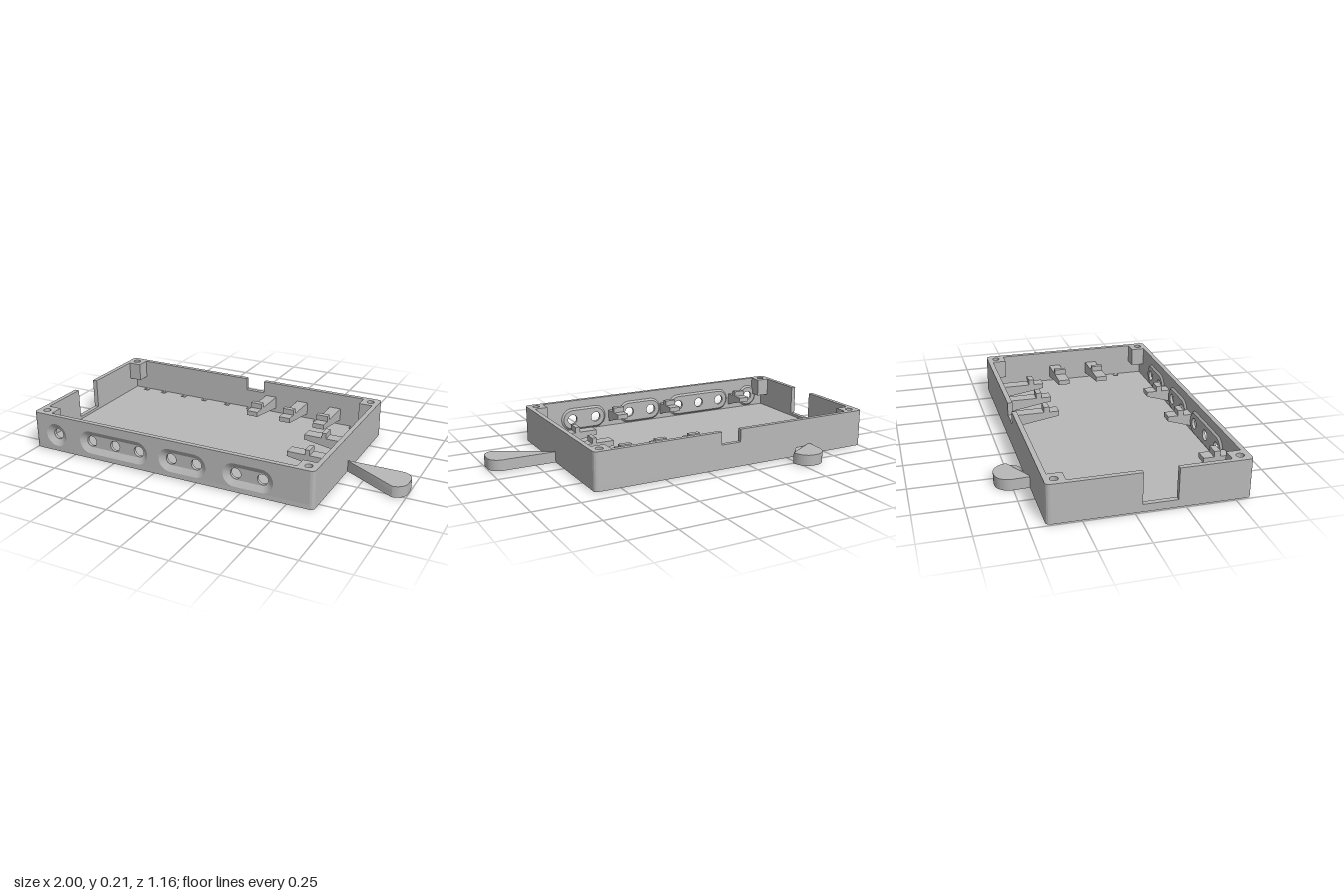
import * as THREE from 'three';
import { toCreasedNormals } from 'three/addons/utils/BufferGeometryUtils.js';

// Overall limits of the tray
const X0 = -1, X1 = 0.645, Z0 = -0.42, Z1 = 0.577;
const T = 0.026, BASE = 0.005, FLOOR = 0.03, TOP = 0.21, R = 0.022;
const SLOT_Y = 0.098;

const grey = new THREE.MeshStandardMaterial({ color: 0xb8b8b8 });
grey.name = 'grey plastic';

function add(parent, name, geometry) {
  const mesh = new THREE.Mesh(toCreasedNormals(geometry, 0.6), grey);
  mesh.name = name;
  parent.add(mesh);
  return mesh;
}

const poly = (points) => new THREE.Shape(points.map(([x, y]) => new THREE.Vector2(x, y)));

function extrude(shape, depth) {
  return new THREE.ExtrudeGeometry(shape, { depth, bevelEnabled: false, curveSegments: 16 });
}

// Extrude a plan outline (shape y = -z) from height y0 to y1
function plan(shape, y0, y1) {
  return extrude(shape, y1 - y0).rotateX(-Math.PI / 2).translate(0, y0, 0);
}

function circle(x, y, r) {
  return new THREE.Path().absarc(x, y, r, 0, Math.PI * 2, true);
}

function square(x, y, s) {
  const h = s / 2;
  return new THREE.Path([[-h, -h], [-h, h], [h, h], [h, -h]].map(([a, b]) => new THREE.Vector2(x + a, y + b)));
}

// Counter-clockwise stadium outline around the line from xa to xb
function stadium(xa, xb, r) {
  const n = 16, pts = [];
  for (const [cx, start] of [[xb, -Math.PI / 2], [xa, Math.PI / 2]]) {
    for (let i = 0; i <= n; i++) {
      const a = start + (Math.PI * i) / n;
      pts.push(new THREE.Vector2(cx + r * Math.cos(a), SLOT_Y + r * Math.sin(a)));
    }
  }
  return pts;
}

// Sloped band between two outlines; faces +z, or -z when flipped
function band(a, za, b, zb, flip) {
  const pos = [];
  for (let i = 0; i < a.length; i++) {
    const j = (i + 1) % a.length;
    const A = [a[i].x, a[i].y, za], B = [a[j].x, a[j].y, za];
    const C = [b[j].x, b[j].y, zb], D = [b[i].x, b[i].y, zb];
    if (flip) pos.push(...A, ...C, ...B, ...A, ...D, ...C);
    else pos.push(...A, ...B, ...C, ...A, ...C, ...D);
  }
  const g = new THREE.BufferGeometry();
  g.setAttribute('position', new THREE.Float32BufferAttribute(pos, 3));
  g.computeVertexNormals();
  return g;
}

function roundedRect(x0, y0, x1, y1, r) {
  const s = new THREE.Shape();
  s.absarc(x1 - r, y1 - r, r, 0, Math.PI / 2);
  s.absarc(x0 + r, y1 - r, r, Math.PI / 2, Math.PI);
  s.absarc(x0 + r, y0 + r, r, Math.PI, Math.PI * 1.5);
  s.absarc(x1 - r, y0 + r, r, Math.PI * 1.5, Math.PI * 2);
  s.closePath();
  return s;
}

// Mounting ear pointing along local +x, with a countersunk hole
function ear(name, holeX, length, half, r) {
  const group = new THREE.Group();
  group.name = name;
  const outline = (holeR) => {
    const s = new THREE.Shape();
    s.moveTo(-0.01, -half);
    s.absarc(length - r, -half + r, r, -Math.PI / 2, 0);
    s.absarc(length - r, half - r, r, 0, Math.PI / 2);
    s.lineTo(-0.01, half);
    s.closePath();
    s.holes.push(circle(holeX, 0, holeR));
    return s;
  };
  add(group, 'earBase', plan(outline(0.028), 0, 0.012));
  add(group, 'earBody', plan(outline(0.062), 0.012, 0.06));
  const cone = new THREE.LatheGeometry([new THREE.Vector2(0.062, 0.06), new THREE.Vector2(0.028, 0.012)], 32);
  add(group, 'countersink', cone.translate(holeX, 0, 0));
  return group;
}

// Support clip reaching along local +x from the wall, with a raised ridge
function clip(length, ridge0, ridge1) {
  const shape = poly([[-0.005, 0.055], [length, 0.098], [length, 0.125], [ridge1, 0.125],
    [ridge1, 0.155], [ridge0, 0.155], [ridge0, 0.125], [-0.005, 0.125]]);
  return extrude(shape, 0.065).translate(0, 0, -0.0325);
}

export function createModel() {
  const model = new THREE.Group();
  model.name = 'enclosureTray';

  // Floor with small square vents along the back and right
  const floor = roundedRect(X0, -Z1, X1, -Z0, R);
  for (const x of [-0.89, -0.765, -0.62, -0.475, -0.315, -0.165, 0.11, 0.27, 0.49]) floor.holes.push(square(x, 0.377, 0.03));
  for (const [x, z] of [[0.59, -0.29], [0.603, -0.195], [0.603, 0.06], [0.603, 0.39]]) floor.holes.push(square(x, -z, 0.03));
  add(model, 'floor', plan(floor, BASE, FLOOR));

  // Front wall with recessed slots and round openings
  const a = X0 + T, b = X1 - T;
  const front = poly([[a, FLOOR], [b, FLOOR], [b, TOP], [a, TOP]]);
  const slots = [[-0.86], [-0.64, -0.493, -0.345], [-0.15, -0.003], [0.22, 0.368]];
  const inner = Z1 - T, plateBack = inner - 0.01, plateFront = Z1 - 0.02;
  for (const xs of slots) {
    const xa = xs[0], xb = xs[xs.length - 1];
    const rim = stadium(xa, xb, 0.064);
    front.holes.push(new THREE.Path(rim));
    add(model, 'slotBevel', band(rim, Z1, stadium(xa, xb, 0.034), plateFront, false));
    add(model, 'slotBulge', band(stadium(xa, xb, 0.066), inner, stadium(xa, xb, 0.055), plateBack, true));
    const plate = new THREE.Shape(stadium(xa, xb, 0.055));
    for (const x of xs) plate.holes.push(circle(x, SLOT_Y, 0.029));
    add(model, 'slotPlate', extrude(plate, plateFront - plateBack).translate(0, 0, plateBack));
  }
  add(model, 'frontWall', extrude(front, T).translate(0, 0, inner));

  // Back wall with a shallow notch
  const back = poly([[a, FLOOR], [b, FLOOR], [b, TOP], [-0.075, TOP], [-0.075, 0.14], [-0.19, 0.14], [-0.19, TOP], [a, TOP]]);
  add(model, 'backWall', extrude(back, T).translate(0, 0, Z0));

  // Left wall with a deep opening, and plain right wall
  const c = Z0 + T, d = Z1 - T;
  const left = poly([[c, FLOOR], [d, FLOOR], [d, TOP], [0.21, TOP], [0.21, 0.045], [0.035, 0.045], [0.035, TOP], [c, TOP]]);
  const right = poly([[c, FLOOR], [d, FLOOR], [d, TOP], [c, TOP]]);
  add(model, 'leftOpenWall', extrude(left, T).rotateY(-Math.PI / 2).translate(X0 + T, 0, 0));
  add(model, 'rightSideWall', extrude(right, T).rotateY(-Math.PI / 2).translate(X1, 0, 0));

  // Rounded corners and hanging screw posts
  const corners = [[X0, Z1, 0], [X1, Z1, 1], [X1, Z0, 2], [X0, Z0, 3]];
  for (const [x, z, turn] of corners) {
    const corner = new THREE.Group();
    corner.name = 'corner';
    corner.position.set(x, 0, z);
    corner.rotation.y = (turn * Math.PI) / 2;
    const edge = new THREE.Shape();
    edge.moveTo(T, 0);
    edge.lineTo(T, T);
    edge.lineTo(0, T);
    edge.absarc(R, R, R, Math.PI, Math.PI * 1.5);
    edge.closePath();
    add(corner, 'cornerEdge', plan(edge, FLOOR, TOP));
    const post = () => poly([[T, T], [0.1, T], [0.1, 0.1], [T, 0.1]]);
    const bored = post();
    bored.holes.push(circle(0.05, 0.05, 0.02));
    add(corner, 'screwPost', plan(bored, 0.12, TOP));
    add(corner, 'postBottom', plan(post(), 0.108, 0.12));
    model.add(corner);
  }

  // Clips on the back, right and front walls
  const place = (name, geometry, x, z, turn) => {
    const m = add(model, name, geometry);
    m.position.set(x, 0, z);
    m.rotation.y = turn;
  };
  for (const x of [-0.028, 0.173, 0.378]) place('backClip', clip(0.26, 0.175, 0.205), x, Z0 + T, -Math.PI / 2);
  for (const z of [-0.002, 0.228]) place('rightClip', clip(0.255, 0.13, 0.155), X1 - T, z, Math.PI);
  for (const x of [-0.753, -0.252, 0.098]) place('frontClip', clip(0.135, 0.048, 0.08), x, inner, Math.PI / 2);

  // Mounting ears; the back one droops slightly
  const sideEar = ear('sideEar', 0.265, 0.355, 0.0875, 0.065);
  sideEar.position.set(X1, BASE, 0.193);
  const backEar = ear('backEar', 0.08, 0.163, 0.0855, 0.08);
  backEar.position.set(-0.56, BASE, Z0);
  backEar.rotation.set(0, Math.PI / 2, -0.03);
  model.add(sideEar, backEar);

  return model;
}
